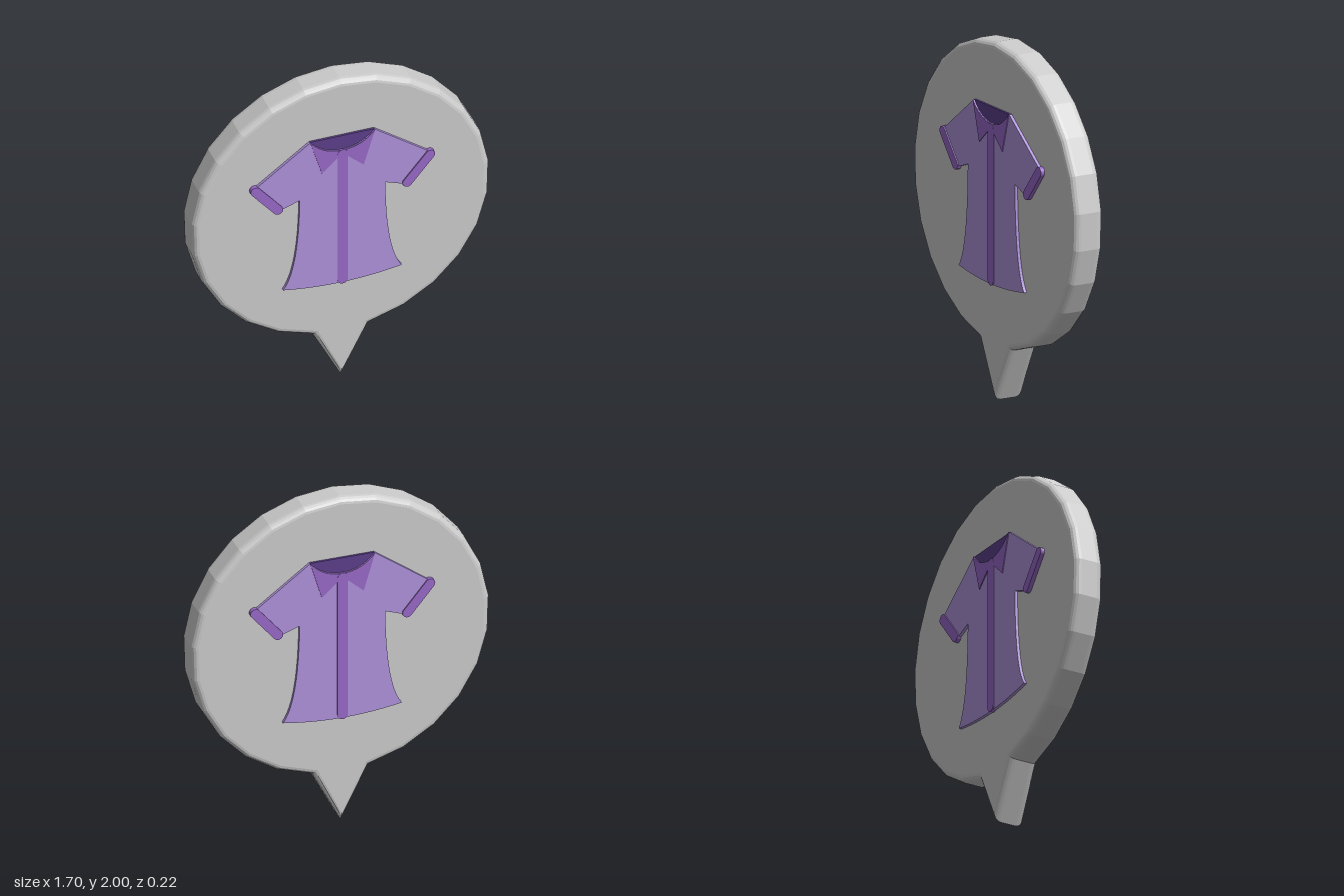
import * as THREE from 'three';

const material = (color, metal) => new THREE.MeshStandardMaterial({ color });
const GREY = material(0xcccccc);
const BODY = material(0xae92da);
const TRIM = material(0x9868c8);
const DARK = material(0x5c3f8c);
const BASE = 0.08; // garment parts start just inside the badge face

// Flat piece of the garment, from the badge face out to depth z
function panel(name, shape, z, mat) {
  const geo = new THREE.ExtrudeGeometry(shape, { depth: z - BASE, bevelEnabled: false, curveSegments: 12 });
  geo.translate(0, 0, BASE);
  const mesh = new THREE.Mesh(geo, mat);
  mesh.name = name;
  return mesh;
}

// Stadium outline around the segment a-b
function capsule(ax, ay, bx, by, r) {
  const t = Math.atan2(by - ay, bx - ax);
  const s = new THREE.Shape();
  s.absarc(bx, by, r, t - Math.PI / 2, t + Math.PI / 2, false);
  s.absarc(ax, ay, r, t + Math.PI / 2, t + Math.PI * 1.5, false);
  return s;
}

// Speech-bubble badge: faceted disc with a pointed tail and rounded rim
function createBadge() {
  const pts = [];
  for (let i = -12; i <= 12; i++) {
    const a = THREE.MathUtils.degToRad(i * 14.1);
    pts.push(new THREE.Vector2(0.855 * Math.sin(a), 1.148 + 0.852 * Math.cos(a)));
  }
  pts.push(new THREE.Vector2(0, 0));
  const bevel = 0.04, half = 0.088;
  const geo = new THREE.ExtrudeGeometry(new THREE.Shape(pts), {
    depth: 2 * (half - bevel), bevelThickness: bevel, bevelSize: 0.035, bevelOffset: -0.035, bevelSegments: 4,
  });
  geo.translate(0, 0, -(half - bevel));
  const mesh = new THREE.Mesh(geo, GREY);
  mesh.name = 'badge';
  return mesh;
}

function createShirt(name) {
  const shirt = new THREE.Group();
  shirt.name = name;

  // Main cloth with short sleeves, flared waist and curved hem
  const body = new THREE.Shape();
  body.moveTo(-0.185, 1.64);
  body.lineTo(-0.49, 1.415);
  body.lineTo(-0.355, 1.225);
  body.lineTo(-0.245, 1.265);
  body.quadraticCurveTo(-0.25, 0.8, -0.34, 0.68);
  body.quadraticCurveTo(0, 0.62, 0.34, 0.68);
  body.quadraticCurveTo(0.25, 0.8, 0.245, 1.265);
  body.lineTo(0.355, 1.225);
  body.lineTo(0.49, 1.415);
  body.lineTo(0.185, 1.64);
  body.quadraticCurveTo(0.11, 1.55, 0, 1.55);
  body.quadraticCurveTo(-0.11, 1.55, -0.185, 1.64);
  shirt.add(panel('shirtBody', body, 0.105, BODY));

  // Inside of the neck
  const neck = new THREE.Shape();
  neck.moveTo(-0.185, 1.64);
  neck.quadraticCurveTo(-0.11, 1.55, 0, 1.55);
  neck.quadraticCurveTo(0.11, 1.55, 0.185, 1.64);
  shirt.add(panel('neckLining', neck, 0.1, DARK));

  // Button strip
  shirt.add(panel('buttonStrip', capsule(0, 0.675, 0, 1.522, 0.03), 0.111, TRIM));

  // Collar wings and sleeve cuffs
  for (const [side, s] of [['left', 1], ['right', -1]]) {
    const wing = new THREE.Shape();
    wing.moveTo(s * 0.185, 1.64);
    wing.lineTo(s * 0.12, 1.42);
    wing.lineTo(s * 0.03, 1.5);
    wing.lineTo(s * 0.02, 1.55);
    wing.quadraticCurveTo(s * 0.115, 1.555, s * 0.185, 1.64);
    shirt.add(panel(side + 'Collar', wing, 0.11, TRIM));
    shirt.add(panel(side + 'Cuff', capsule(s * 0.5, 1.392, s * 0.37, 1.235, 0.028), 0.112, TRIM));
  }
  return shirt;
}

export function createModel() {
  const model = new THREE.Group();
  model.name = 'shirtBadge';
  model.add(createBadge(), createShirt('frontShirt'));
  // The same garment on the reverse
  const back = createShirt('backShirt');
  back.rotation.y = Math.PI;
  model.add(back);
  return model;
}
